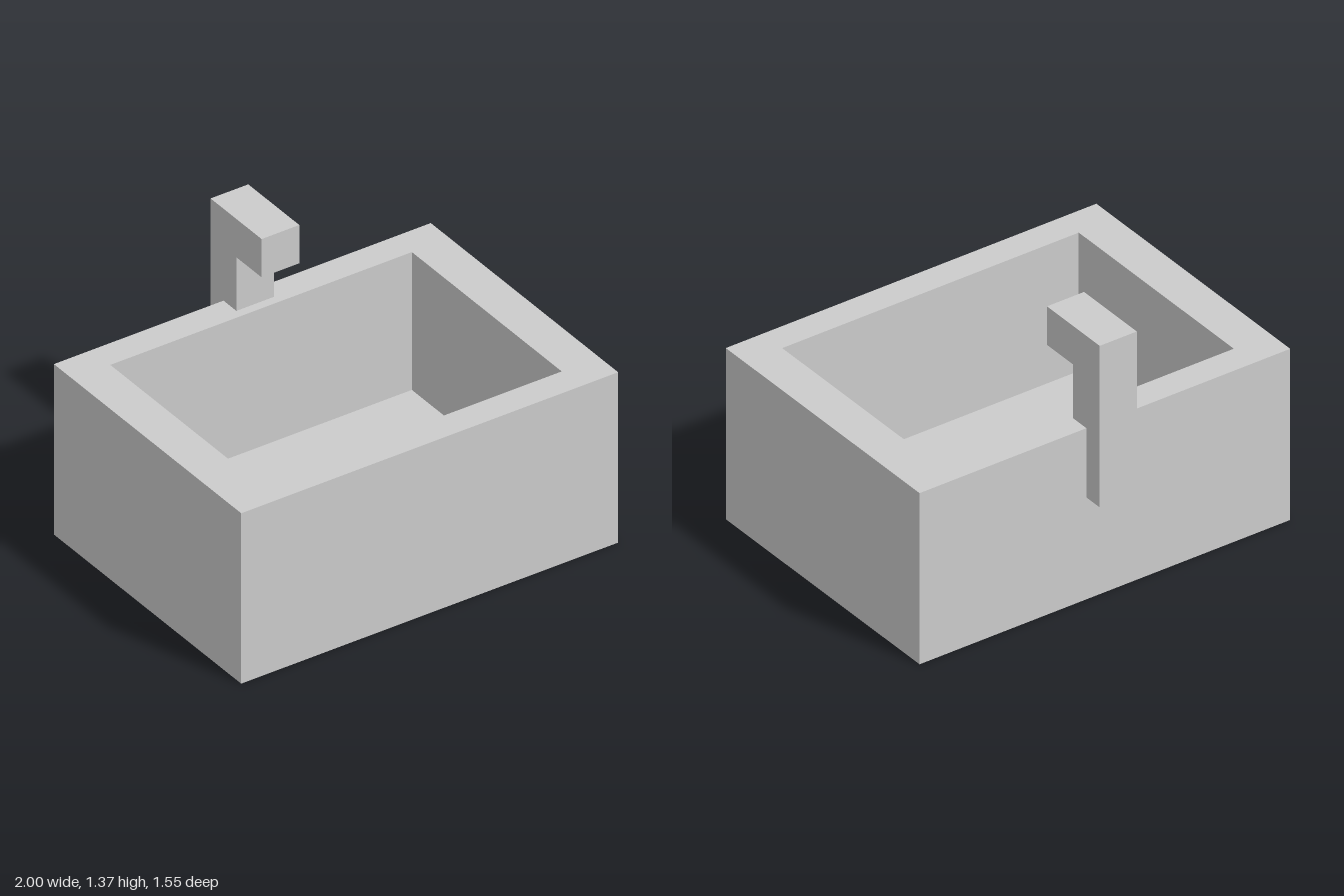
import * as THREE from 'three';

const material = new THREE.MeshStandardMaterial({ color: 0xcccccc, flatShading: true });

function addMesh(group, name, geometry) {
  const mesh = new THREE.Mesh(geometry, material);
  mesh.name = name;
  group.add(mesh);
  return mesh;
}

// Box given by its minimum and maximum corners
function boxBetween(min, max) {
  const size = max.map((v, i) => v - min[i]);
  const mid = max.map((v, i) => (v + min[i]) / 2);
  return new THREE.BoxGeometry(...size).translate(...mid);
}

// Closed rectangle points in the (x, -z) plane, used before laying the shape flat
function rectangle(halfX, zBack, zFront) {
  return [[-halfX, -zFront], [halfX, -zFront], [halfX, -zBack], [-halfX, -zBack]]
    .map(([x, y]) => new THREE.Vector2(x, y));
}

export function createModel() {
  const model = new THREE.Group();
  model.name = 'sink';

  const height = 0.89;
  const floorTop = 0.17;

  // Basin: one slab for the floor, one rectangular ring for the walls
  const basin = new THREE.Group();
  basin.name = 'basin';
  model.add(basin);

  const outer = rectangle(1, -0.675, 0.775);
  const ring = new THREE.Shape(outer);
  ring.holes.push(new THREE.Path(rectangle(0.8, -0.53, 0.63).reverse()));
  const layers = [
    ['basinFloor', new THREE.Shape(outer), 0, floorTop],
    ['basinWalls', ring, floorTop, height],
  ];
  for (const [name, shape, bottom, top] of layers) {
    const geometry = new THREE.ExtrudeGeometry(shape, { depth: top - bottom, bevelEnabled: false });
    addMesh(basin, name, geometry.rotateX(-Math.PI / 2).translate(0, bottom, 0));
  }

  // Faucet: upright post straddling the back wall, spout reaching forward
  const faucet = new THREE.Group();
  faucet.name = 'faucet';
  model.add(faucet);
  addMesh(faucet, 'faucetPost', boxBetween([-0.1, 0.53, -0.775], [0.1, 1.37, -0.575]));
  addMesh(faucet, 'faucetSpout', boxBetween([-0.1, 1.17, -0.575], [0.1, 1.37, -0.38]));

  return model;
}
